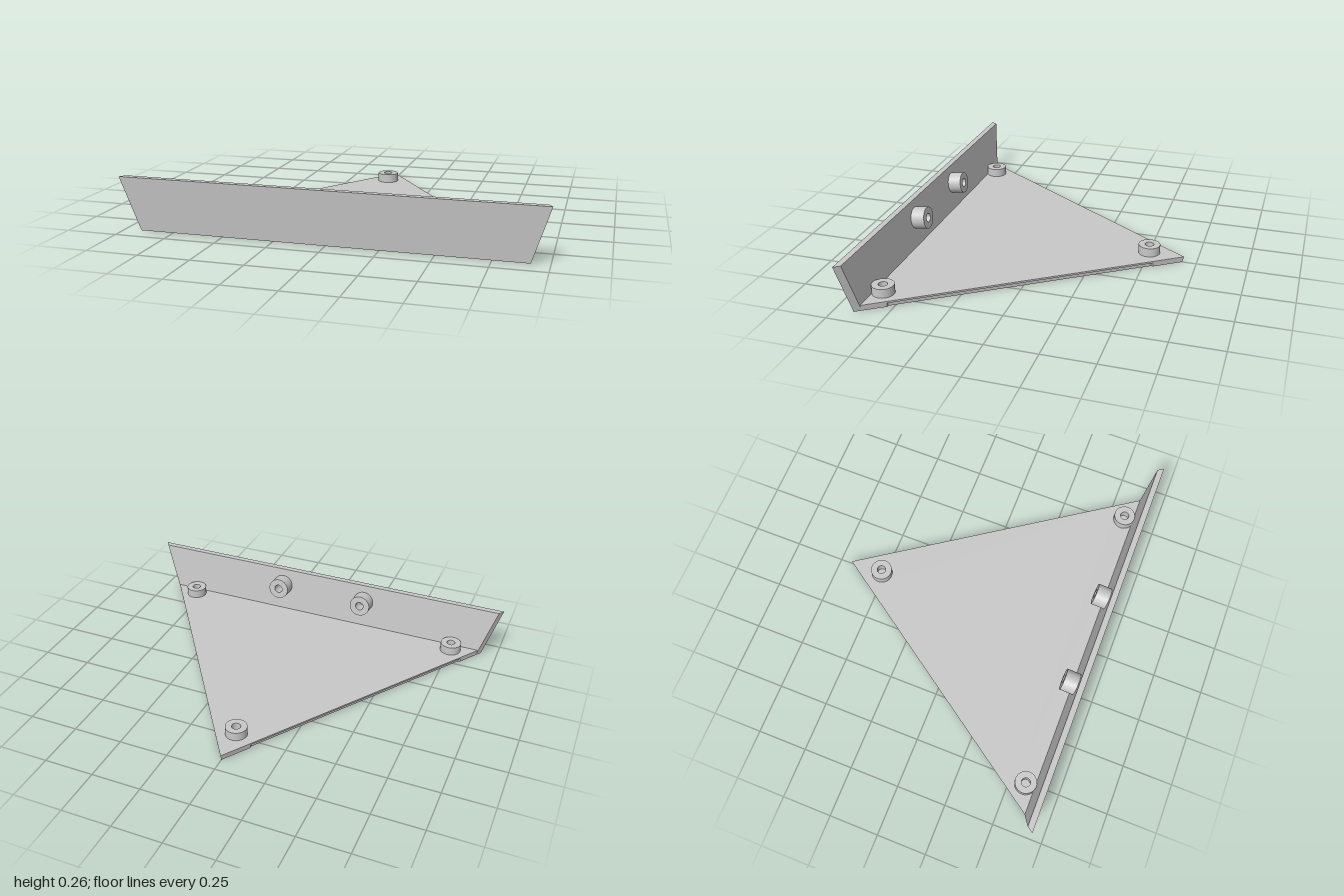
import * as THREE from 'three';

// Lofts stacked horizontal rings of [x, y, z], counter-clockwise seen from above, with flat caps
function loft(rings) {
  const pos = [];
  const tri = (a, b, c) => pos.push(...a, ...b, ...c);
  for (let k = 0; k < rings.length - 1; k++) {
    const lo = rings[k], hi = rings[k + 1];
    lo.forEach((a, i) => {
      const j = (i + 1) % lo.length;
      tri(a, lo[j], hi[j]);
      tri(a, hi[j], hi[i]);
    });
  }
  const cap = (ring, up) => {
    const flat = ring.map(([x, , z]) => new THREE.Vector2(x, -z));
    for (const [a, b, c] of THREE.ShapeUtils.triangulateShape(flat, [])) {
      if (up) tri(ring[a], ring[b], ring[c]);
      else tri(ring[a], ring[c], ring[b]);
    }
  };
  cap(rings[0], false);
  cap(rings[rings.length - 1], true);
  const g = new THREE.BufferGeometry();
  g.setAttribute('position', new THREE.Float32BufferAttribute(pos, 3));
  g.computeVertexNormals();
  return g;
}

const LEAN = 0.125;   // outward lean of the wall
const SLOPE = 0.686;  // half-width gained per unit of z
const T = 0.03;       // panel thickness
const H = 0.265;      // wall height

// Floor outline at height y, with a shallow recess of depth d along each slanted side
function floorRing(y, d) {
  const apex = -0.68 - 0.007 * y / T;
  const edge = (z, inset = 0) => [SLOPE * (z - apex) - inset, y, z];
  const right = [edge(0.625 + LEAN * y), edge(0.53), edge(0.53, d), edge(-0.54, d), edge(-0.55)];
  const left = right.map(([x, yy, z]) => [-x, yy, z]).reverse();
  return [...right, [0, y, apex], ...left];
}

// Wall outline at height y
function wallRing(y) {
  const outer = 0.916 + 0.084 * y / H, inner = 0.895 + 0.085 * y / H;
  const zo = 0.655 + LEAN * y, zi = zo - T;
  return [[outer, y, zo], [inner, y, zi], [-inner, y, zi], [-outer, y, zo]];
}

// Hollow round boss standing on y = 0, as bore, rim and side so the rims stay crisp
function bossGeometry(r, hole, h) {
  const p = [[hole, 0], [hole, h], [r, h], [r, -0.005]].map(([x, y]) => new THREE.Vector2(x, y));
  return [0, 1, 2].map((i) => new THREE.LatheGeometry([p[i + 1], p[i]], 40));
}

export function createModel() {
  const group = new THREE.Group();
  const grey = new THREE.MeshStandardMaterial({ color: 0xc8c8c8 });
  grey.name = 'light grey plastic';

  const add = (name, geometry, parent = group) => {
    const m = new THREE.Mesh(geometry, grey);
    m.name = name;
    parent.add(m);
  };

  // Triangular base and leaning front wall
  add('floorPanel', loft([floorRing(0, 0.009), floorRing(0.02, 0.009), floorRing(0.02, 0), floorRing(T, 0)]));
  add('frontWall', loft([wallRing(0), wallRing(H)]));

  // Hollow bosses on the floor and the inside of the wall
  const addBoss = (name, parts, x, y, z, tilt) => {
    const boss = new THREE.Group();
    boss.name = name;
    parts.forEach((g, i) => add(['bore', 'rim', 'side'][i], g, boss));
    boss.position.set(x, y, z);
    boss.rotation.x = tilt;
    group.add(boss);
  };
  const floorBoss = bossGeometry(0.054, 0.022, 0.045);
  addBoss('backFloorBoss', floorBoss, 0, T, -0.511, 0);
  const wallBoss = bossGeometry(0.055, 0.022, 0.07);
  for (const [side, s] of [['left', 1], ['right', -1]]) {
    addBoss(side + 'FloorBoss', floorBoss, 0.763 * s, T, 0.58, 0);
    addBoss(side + 'WallBoss', wallBoss, 0.24 * s, 0.171, 0.625 + LEAN * 0.171, -Math.PI / 2 + Math.atan(LEAN));
  }
  return group;
}
